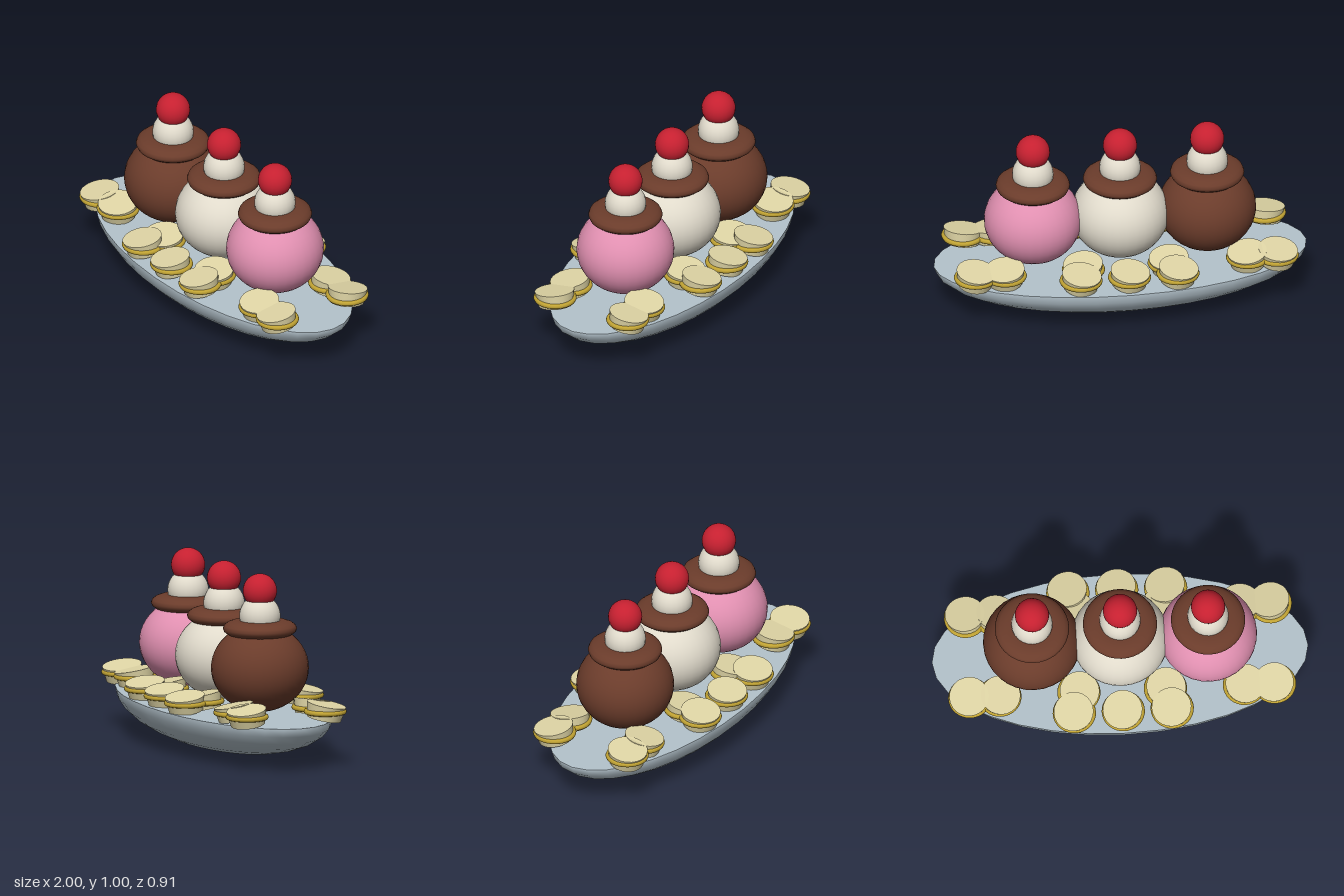
import * as THREE from 'three';

const mat = (name, color) => {
  const m = new THREE.MeshStandardMaterial({ color });
  m.name = name;
  return m;
};

export function createModel() {
  const glass = mat('pale blue dish', 0xb4c3cc);
  const chocolate = mat('chocolate brown', 0x6b3c2b);
  const cream = mat('vanilla cream', 0xe0dacb);
  const pink = mat('strawberry pink', 0xe08fb0);
  const red = mat('cherry red', 0xc62030);
  const flesh = mat('banana flesh', 0xdfd5a5);
  const peel = mat('banana peel', 0xc2a434);

  const root = new THREE.Group();
  root.name = 'bananaSplit';
  const add = (parent, name, geometry, material, x = 0, y = 0, z = 0) => {
    const mesh = new THREE.Mesh(geometry, material);
    mesh.name = name;
    mesh.position.set(x, y, z);
    parent.add(mesh);
    return mesh;
  };

  // Boat-shaped dish: lower half of an ellipsoid, closed with a flat top
  const dish = new THREE.Group();
  dish.name = 'dish';
  root.add(dish);
  add(dish, 'dishBowl',
    new THREE.SphereGeometry(1, 32, 8, 0, Math.PI * 2, Math.PI / 2, Math.PI / 2).scale(1, 0.245, 0.45),
    glass, 0, 0.25);
  add(dish, 'dishTop', new THREE.CircleGeometry(1, 32).rotateX(-Math.PI / 2).scale(1, 1, 0.45), glass, 0, 0.25);

  // Three scoops, each with sauce, whipped cream and a cherry
  const scoopGeo = new THREE.SphereGeometry(0.26, 32, 24).scale(1, 0.9, 1);
  const sauceGeo = new THREE.TorusGeometry(0.11, 0.087, 16, 40).rotateX(Math.PI / 2).scale(1, 0.5, 1);
  const whipGeo = new THREE.SphereGeometry(0.11, 24, 16);
  const cherryGeo = new THREE.SphereGeometry(0.091, 24, 16);
  [chocolate, cream, pink].forEach((flavour, i) => {
    const sundae = new THREE.Group();
    sundae.name = 'sundae';
    sundae.position.x = (i - 1) * 0.468;
    root.add(sundae);
    add(sundae, 'scoop', scoopGeo, flavour, 0, 0.5);
    add(sundae, 'sauce', sauceGeo, chocolate, 0, 0.712);
    add(sundae, 'whippedCream', whipGeo, cream, 0, 0.78);
    add(sundae, 'cherry', cherryGeo, red, 0, 0.914);
  });

  // Banana slices: tilted tapered discs, each inside a level ring of peel
  const sliceGeo = new THREE.CylinderGeometry(0.106, 0.092, 0.08, 24);
  const ringGeo = new THREE.TorusGeometry(0.101, 0.014, 8, 32).rotateX(Math.PI / 2);
  const spots = [
    [-0.81, 0.227], [-0.65, 0.227], [-0.26, 0.34], [-0.23, 0.225], [0, 0.342],
    [0.23, 0.225], [0.26, 0.34], [0.65, 0.227], [0.81, 0.227],
  ];
  for (const side of [1, -1]) {
    spots.forEach(([x, z], i) => {
      const slice = new THREE.Group();
      slice.name = 'bananaSlice';
      slice.position.set(x, 0.301, z * side);
      root.add(slice);
      const body = add(slice, 'sliceFlesh', sliceGeo, flesh);
      body.rotation.set(side * 0.16, 0, i % 2 ? -0.1 : 0.1);
      add(slice, 'slicePeel', ringGeo, peel);
    });
  }
  return root;
}
